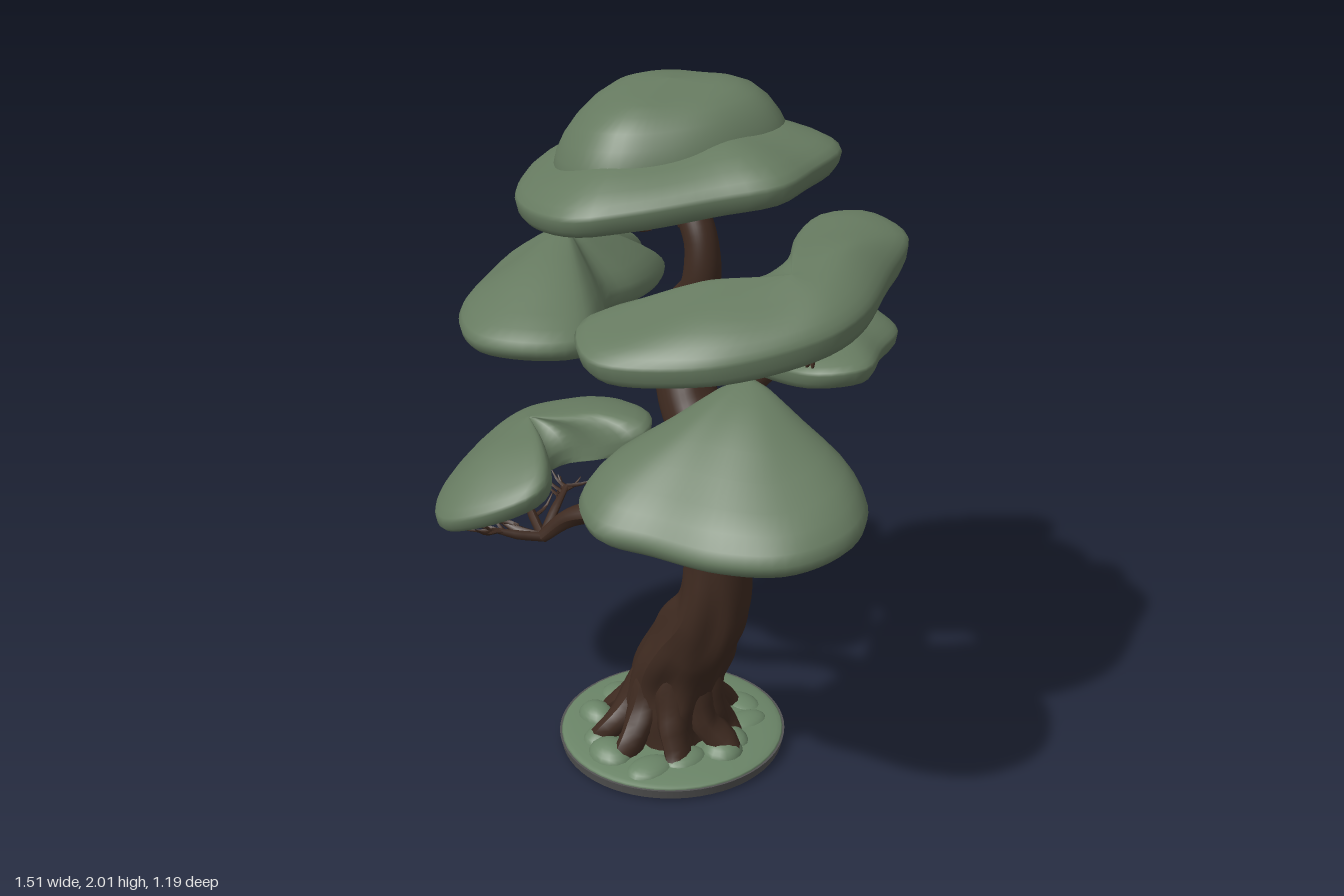
import * as THREE from 'three';
import { mergeGeometries } from 'three/addons/utils/BufferGeometryUtils.js';

const mat = (name, color, side = THREE.FrontSide) => {
  const m = new THREE.MeshStandardMaterial({ color, side });
  m.name = name;
  return m;
};

export function createModel() {
  const group = new THREE.Group();
  const leaf = mat('leaf green', 0x667a60);
  const bark = mat('bark brown', 0x3e2a20, THREE.DoubleSide);
  const moss = mat('moss green', 0x6a8467);
  const stone = mat('stone grey', 0x525252);

  let seed = 7;
  const rand = (a = 0, b = 1) => {
    seed = (seed * 16807) % 2147483647;
    return a + (b - a) * seed / 2147483647;
  };
  const add = (name, geometry, material) => {
    const mesh = new THREE.Mesh(geometry, material);
    mesh.name = name;
    group.add(mesh);
    return mesh;
  };

  // Tapered tube through [x, y, z, radius] points, with optional twisted bark ridges
  const limb = (pts, segs = 16, sides = 8, ridge = () => 0) => {
    const curve = new THREE.CatmullRomCurve3(pts.map(p => new THREE.Vector3(p[0], p[1], p[2])));
    const geo = new THREE.TubeGeometry(curve, segs, 1, sides);
    const pos = geo.attributes.position, v = new THREE.Vector3();
    for (let i = 0; i <= segs; i++) {
      const c = curve.getPointAt(i / segs);
      const t = curve.getUtoTmapping(i / segs) * (pts.length - 1);
      const k = Math.min(Math.floor(t), pts.length - 2);
      const r = THREE.MathUtils.lerp(pts[k][3], pts[k + 1][3], t - k);
      for (let j = 0; j <= sides; j++) {
        const n = i * (sides + 1) + j;
        v.fromBufferAttribute(pos, n).sub(c);
        v.multiplyScalar(r * (1 + ridge((j % sides) / sides * Math.PI * 2, i / segs))).add(c);
        pos.setXYZ(n, v.x, v.y, v.z);
      }
    }
    geo.computeVertexNormals();
    return geo;
  };

  // Foliage pad: smooth outline swept through a domed or sloping profile on a tilted plane
  const dome = [[0, 1], [.15, .985], [.3, .94], [.45, .86], [.6, .74], [.75, .57], [.87, .4], [.95, .23], [.99, .09]];
  const slope = [[0, 1], [.1, .98], [.22, .92], [.35, .82], [.5, .69], [.65, .55], [.8, .39], [.9, .25], [.97, .11]];
  const pad = (name, { outline, centre: [cx, cy, cz], tilt: [sx, sz], h, lip, top = dome }) => {
    const N = 64;
    const edge = new THREE.CatmullRomCurve3(outline.map(([x, z]) => new THREE.Vector3(x, 0, z)), true).getSpacedPoints(N);
    const profile = [
      ...top.map(([t, y]) => [t, y * h]),
      [1, 0], [.985, -lip * .6], [.95, -lip], [.88, -lip * 1.05], [.7, -lip * .6], [.4, lip * .1], [0, lip * .4],
    ];
    const verts = [], index = [];
    profile.forEach(([t, y], i) => {
      for (let j = 0; j < N; j++) {
        const dx = (edge[j].x - cx) * t, dz = (edge[j].z - cz) * t;
        const lump = .012 * t * (1 - t) * 4 * Math.sin(dx * 13 + cy * 9) * Math.cos(dz * 12 + cx * 5);
        verts.push(cx + dx, cy + sx * dx + sz * dz + y + lump, cz + dz);
        if (i === profile.length - 1) continue;
        const a = i * N + j, d = i * N + (j + 1) % N;
        index.push(a, d + N, a + N, a, d, d + N);
      }
    });
    const geo = new THREE.BufferGeometry();
    geo.setAttribute('position', new THREE.Float32BufferAttribute(verts, 3));
    geo.setIndex(index);
    geo.computeVertexNormals();
    add(name, geo, leaf);
  };

  pad('crownBrimFoliage', {
    outline: [[-.2, -.34], [-.12, -.31], [-.06, -.2], [.1, -.18], [.2, -.25], [.29, -.21], [.35, -.07], [.39, .06],
      [.31, .2], [.2, .38], [.11, .48], [-.04, .5], [-.22, .44], [-.4, .27], [-.48, .06], [-.42, -.1], [-.33, -.22]],
    centre: [-.05, 1.765, .1], tilt: [.1, -.11], h: .125, lip: .045,
  });
  pad('crownDomeFoliage', {
    outline: [[-.32, .02], [-.24, -.12], [-.06, -.185], [.1, -.185], [.19, -.12], [.215, .05], [.17, .22], [.07, .36],
      [-.06, .39], [-.22, .32], [-.32, .17]],
    centre: [-.04, 1.81, .08], tilt: [.06, -.08], h: .19, lip: .03,
    top: [[0, 1], [.2, .985], [.4, .94], [.55, .87], [.7, .75], [.82, .59], [.91, .4], [.97, .2]],
  });
  pad('upperLeftFoliage', {
    outline: [[.14, -.28], [.2, -.36], [.28, -.38], [.4, -.35], [.5, -.2], [.6, -.03], [.62, .1], [.56, .3], [.48, .42],
      [.3, .55], [.2, .54], [.1, .46], [.17, .33], [.28, .19], [.31, .09], [.28, -.04], [.18, -.16]],
    centre: [.45, 1.525, .08], tilt: [-.05, -.18], h: .095, lip: .05,
  });
  pad('upperRightFoliage', {
    outline: [[-.67, -.18], [-.6, -.22], [-.53, -.165], [-.42, -.17], [-.34, -.1], [-.28, .02], [-.26, .14], [-.12, .24],
      [0, .39], [-.05, .51], [-.2, .59], [-.4, .52], [-.6, .31], [-.69, .17], [-.72, 0]],
    centre: [-.4, 1.35, .17], tilt: [.02, .01], h: .165, lip: .035, top: slope,
  });
  pad('lowerRightFoliage', {
    outline: [[-.73, .1], [-.6, 0], [-.4, -.03], [-.25, 0], [-.18, .08], [-.26, .15], [-.4, .2], [-.41, .27], [-.3, .31],
      [-.24, .39], [-.3, .5], [-.45, .58], [-.6, .52], [-.72, .38], [-.755, .24]],
    centre: [-.53, .81, .24], tilt: [.27, -.31], h: .12, lip: .04,
  });
  pad('lowerLeftFoliage', {
    outline: [[.12, .1], [.2, -.02], [.35, -.06], [.62, -.03], [.72, .06], [.75, .16], [.72, .3], [.6, .42],
      [.42, .5], [.28, .56], [.13, .5], [.08, .37], [.1, .22]],
    centre: [.29, 1.06, .08], tilt: [-.06, -.12], h: .23, lip: .04, top: slope,
  });
  pad('backFoliage', {
    outline: [[-.32, -.2], [-.31, -.38], [-.2, -.54], [-.07, -.6], [.1, -.54], [.25, -.47], [.33, -.34], [.42, -.2],
      [.35, -.09], [.1, -.06], [-.15, -.06]],
    centre: [0, 1.24, -.32], tilt: [.11, -.03], h: .085, lip: .04,
  });

  // Trunk
  add('trunk', limb([
    [-.08, .02, .07, .15], [-.07, .12, .07, .14], [-.04, .25, .07, .128], [.04, .4, .07, .118], [.125, .53, .07, .102],
    [.148, .68, .07, .092], [.14, .82, .065, .087], [.08, 1, .055, .086], [-.01, 1.13, .05, .082], [-.055, 1.25, .04, .073],
    [-.025, 1.37, .045, .062], [.045, 1.46, .05, .053], [.05, 1.58, .05, .045], [0, 1.68, .05, .045], [-.02, 1.74, .05, .03],
  ], 110, 36, (a, u) => (1 - u) ** 2 * (.09 * Math.sin(5 * a + 9 * u) + .06 * Math.sin(8 * a - 22 * u)
    + .04 * Math.sin(3 * a + 45 * u))), bark);

  // Roots flaring out around the foot, leaning with the trunk
  const roots = [];
  for (let i = 0; i < 9; i++) {
    const a = i / 9 * Math.PI * 2 + rand(-.15, .15), l = rand(.19, .235);
    const at = (r, y, w, da = 0) => [-.08 + .75 * y * y + Math.cos(a + da) * r, y, .07 + Math.sin(a + da) * r, w];
    roots.push(limb([at(.05, .38, .01, .4), at(.09, .24, .044, .22), at(.125, .13, .05), at(l - .03, .06, .04, -.12),
      at(l + .02, .01, .022, -.05)], 16, 10, (q, u) => .12 * Math.sin(2 * q + 9 * u)));
  }
  add('roots', mergeGeometries(roots), bark);

  // Main branches, each ending in forks that carry fans of fine twigs
  const branches = {
    crownBranch: { path: [[.02, 1.63, .05, .042], [-.01, 1.68, .05, .035], [-.03, 1.74, .06, .02]],
      forks: [[-.26, 1.665, .14], [-.16, 1.65, .28], [.04, 1.67, .27], [-.2, 1.7, -.08], [.02, 1.71, -.08], [.13, 1.7, .05], [-.07, 1.665, .2]] },
    upperLeftBranch: { path: [[-.02, 1.32, .05, .045], [.07, 1.37, .05, .036], [.16, 1.385, .06, .03], [.22, 1.4, .08, .024]],
      forks: [[.34, 1.4, .28], [.44, 1.38, .16], [.47, 1.39, .02], [.38, 1.42, -.14], [.26, 1.4, .2]] },
    upperRightBranch: { path: [[-.04, 1.26, .05, .045], [-.14, 1.31, .08, .036], [-.22, 1.3, .11, .03], [-.3, 1.265, .15, .024]],
      forks: [[-.38, 1.27, .38], [-.5, 1.28, .22], [-.52, 1.28, .04], [-.4, 1.28, -.06], [-.27, 1.28, .35]] },
    lowerRightBranch: { path: [[.11, .78, .07, .05], [.02, .84, .09, .046], [-.1, .81, .13, .04], [-.22, .74, .2, .034],
      [-.32, .69, .25, .028], [-.38, .62, .3, .018]],
      forks: [[-.52, .66, .38], [-.56, .67, .25], [-.44, .66, .43], [-.46, .71, .16]] },
    lowerLeftBranch: { path: [[.1, .92, .06, .048], [.2, .96, .1, .036], [.29, .985, .15, .03], [.36, .95, .2, .022]],
      forks: [[.49, .92, .26], [.46, .95, .38], [.32, .95, .4], [.24, .95, .3], [.48, .96, .12]] },
    backBranch: { path: [[.05, 1.02, .04, .045], [.01, 1.06, -.08, .036], [-.03, 1.1, -.2, .03], [-.04, 1.115, -.28, .024]],
      forks: [[-.16, 1.12, -.36], [-.06, 1.12, -.41], [.06, 1.14, -.38], [.09, 1.14, -.26], [-.15, 1.12, -.22]] },
  };
  for (const [name, { path, forks }] of Object.entries(branches)) {
    add(name, limb(path, 28, 12, (a, u) => .07 * Math.sin(3 * a + 12 * u)), bark);
    const e = path[path.length - 1], twigs = [];
    for (const f of forks) {
      const mid = s => e.slice(0, 3).map((c, k) => c + (f[k] - c) * s);
      const bend = mid(.5);
      bend[1] += rand(-.015, .01);
      twigs.push(limb([[...e.slice(0, 3), e[3] * .8], [...bend, .014], [...f, .007]], 10, 7));
      const out = Math.atan2(f[2] - e[2], f[0] - e[0]);
      for (let i = 0; i < 9; i++) {
        const s = mid(i < 4 ? rand(.45, .9) : rand(.85, 1)), a = out + rand(-1.3, 1.3), l = rand(.04, .1);
        const rise = rand(.005, .055);
        const p = (q, up, w) => [s[0] + Math.cos(a) * l * q, s[1] + up, s[2] + Math.sin(a) * l * q, w];
        twigs.push(limb([p(0, 0, .007), p(.6, rise * .25, .005), p(1, rise, .0015)], 5, 5));
      }
    }
    add(name + 'Twigs', mergeGeometries(twigs), bark);
  }

  // Round stone base with a mossy top
  const base = add('base', new THREE.CylinderGeometry(.334, .328, .028, 64), stone);
  base.position.set(-.09, .014, .055);
  const bed = add('mossBed', new THREE.SphereGeometry(1, 48, 10, 0, Math.PI * 2, 0, Math.PI / 2), moss);
  bed.scale.set(.328, .024, .328);
  bed.position.set(-.09, .028, .055);
  for (let i = 0; i < 13; i++) {
    const a = i / 13 * Math.PI * 2 + rand(-.15, .15), r = rand(.18, .24);
    const clump = add('mossClump', new THREE.SphereGeometry(1, 16, 6, 0, Math.PI * 2, 0, Math.PI / 2), moss);
    clump.scale.set(rand(.05, .08), rand(.025, .05), rand(.05, .08));
    clump.position.set(-.09 + Math.cos(a) * r, .03, .055 + Math.sin(a) * r);
  }
  return group;
}
